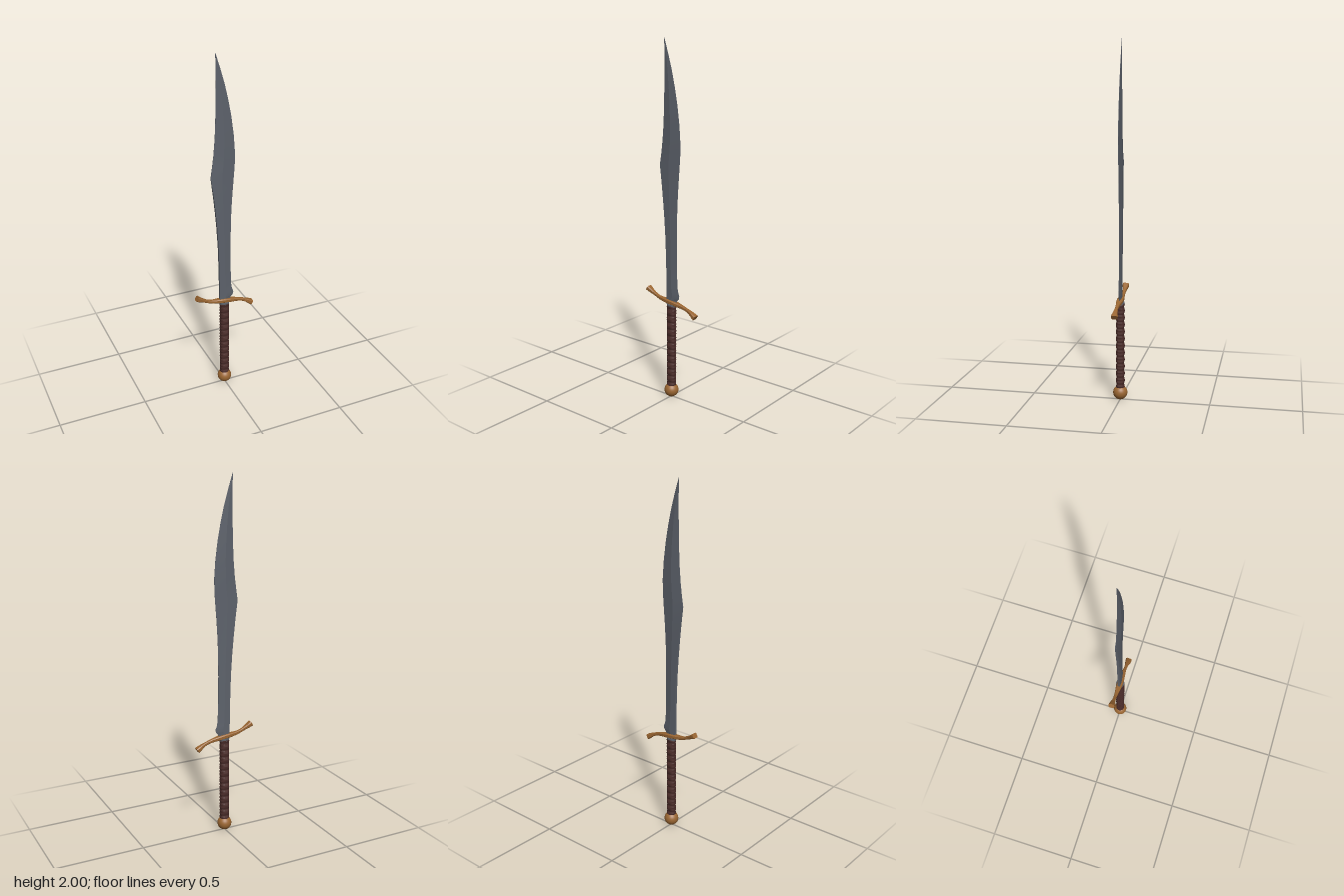
import * as THREE from 'three';
import { toCreasedNormals } from 'three/addons/utils/BufferGeometryUtils.js';

// Skin a list of equal-length rings (counter-clockwise seen from the last ring) and cap both ends.
function loft(rings, crease) {
  const n = rings[0].length, index = [];
  for (let i = 0; i < rings.length - 1; i++) {
    for (let j = 0; j < n; j++) {
      const a = i * n + j, b = i * n + (j + 1) % n;
      index.push(a, b, b + n, a, b + n, a + n);
    }
  }
  const last = (rings.length - 1) * n;
  for (let j = 1; j < n - 1; j++) index.push(0, j + 1, j, last, last + j, last + j + 1);
  const geo = new THREE.BufferGeometry();
  geo.setAttribute('position', new THREE.Float32BufferAttribute(rings.flat(2), 3));
  geo.setIndex(index);
  return toCreasedNormals(geo, crease);
}

// Piecewise-linear lookup in a [key, value] table
function sample(table, k) {
  let i = 1;
  while (i < table.length - 1 && table[i][0] < k) i++;
  const [k0, v0] = table[i - 1], [k1, v1] = table[i];
  return THREE.MathUtils.lerp(v0, v1, THREE.MathUtils.clamp((k - k0) / (k1 - k0), 0, 1));
}

// Blade: flat spine on -x that sharpens above the kink, ridge, cutting edge on +x
function bladeGeometry() {
  // y, spine x, edge x, half thickness of spine
  const rows = [
    [0.55, -0.03, 0.035, 0.007], [0.58, -0.03, 0.038, 0.007], [0.595, -0.03, 0.052, 0.007],
    [0.612, -0.03, 0.055, 0.007], [0.635, -0.03, 0.046, 0.007], [0.66, -0.031, 0.042, 0.007],
    [0.76, -0.032, 0.038, 0.007], [0.92, -0.037, 0.037, 0.007], [1.04, -0.045, 0.038, 0.007],
    [1.13, -0.053, 0.041, 0.007], [1.23, -0.064, 0.047, 0.006], [1.333, -0.078, 0.055, 0.004],
    [1.39, -0.071, 0.059, 0.001], [1.46, -0.062, 0.06, 0.001], [1.555, -0.054, 0.053, 0.001],
    [1.66, -0.05, 0.039, 0.001], [1.75, -0.048, 0.022, 0.001], [1.84, -0.047, 0.001, 0.001],
    [1.92, -0.047, -0.022, 0.001], [2.0, -0.049, -0.048, 0.0005],
  ];
  return loft(rows.map(([y, xl, xr, s]) => {
    const t = Math.max(s, sample([[1.6, 0.008], [2, 0.0005]], y));
    const xm = THREE.MathUtils.lerp(xl, xr, 0.47);
    return [[xl, y, s], [xm, y, t], [xr, y, 0.0006], [xr, y, -0.0006], [xm, y, -t], [xl, y, -s]];
  }), 0.1);
}

// Guard: S-curved bar, waisted between its swollen middle and flared ends
function guardGeometry() {
  const path = new THREE.CatmullRomCurve3([
    [-0.168, 0.617], [-0.13, 0.596], [-0.085, 0.577], [0, 0.566], [0.085, 0.551], [0.13, 0.535], [0.168, 0.512],
  ].map(([x, y]) => new THREE.Vector3(x, y, 0)));
  const depth = [[0, 0.018], [0.03, 0.0165], [0.07, 0.0105], [0.1, 0.008], [0.125, 0.0095], [0.155, 0.016], [0.17, 0.0175]];
  const height = [[0, 0.0125], [0.05, 0.0105], [0.1, 0.008], [0.13, 0.009], [0.17, 0.0145]];
  const rings = [], steps = 40;
  const section = [[1, 0.6], [0.7, 1], [-0.7, 1], [-1, 0.6], [-1, -0.6], [-0.7, -1], [0.7, -1], [1, -0.6]];
  for (let i = 0; i <= steps; i++) {
    const p = path.getPoint(i / steps), t = path.getTangent(i / steps);
    const w = sample(depth, Math.abs(p.x)), h = sample(height, Math.abs(p.x));
    rings.push(section.map(([z, v]) => [p.x - t.y * v * h, p.y + t.x * v * h, z * w]).reverse());
  }
  return loft(rings, 0.5);
}

// Grip: oval handle with crossing cord wraps that form beads on its front and back
function gripGeometry() {
  const rings = [], n = 28, rows = 132, y0 = 0.07, y1 = 0.548;
  for (let i = 0; i <= rows; i++) {
    const y = y0 + (y1 - y0) * i / rows, k = (y - y0) / (y1 - y0) * 12 * Math.PI * 2;
    rings.push(Array.from({ length: n }, (_, j) => {
      const a = j / n * Math.PI * 2, phase = Math.PI / 2 * Math.abs(Math.sin(a));
      const bump = Math.max(Math.cos(k + phase), Math.cos(k - phase));
      const r = 0.0225 + 0.0025 * bump;
      return [Math.sin(a) * r * 1.12, y, Math.cos(a) * r];
    }));
  }
  return loft(rings, 1);
}

export function createModel() {
  const steel = new THREE.MeshStandardMaterial({ color: 0x5d626b });
  steel.name = 'steel';
  const bronze = new THREE.MeshStandardMaterial({ color: 0x9a6632 });
  bronze.name = 'bronze';
  const leather = new THREE.MeshStandardMaterial({ color: 0x4c2d2a });
  leather.name = 'dark leather';

  const model = new THREE.Group();
  model.name = 'sword';
  const add = (name, geo, mat, y = 0) => {
    const mesh = new THREE.Mesh(geo, mat);
    mesh.name = name;
    mesh.position.y = y;
    model.add(mesh);
    return mesh;
  };

  add('blade', bladeGeometry(), steel);
  add('guard', guardGeometry(), bronze);
  add('grip', gripGeometry(), leather);
  // Steel ring between grip and guard
  add('collar', new THREE.CylinderGeometry(0.024, 0.024, 0.016, 24), steel, 0.549).scale.x = 1.15;
  add('pommel', new THREE.SphereGeometry(0.04, 28, 18), bronze, 0.04);
  return model;
}
